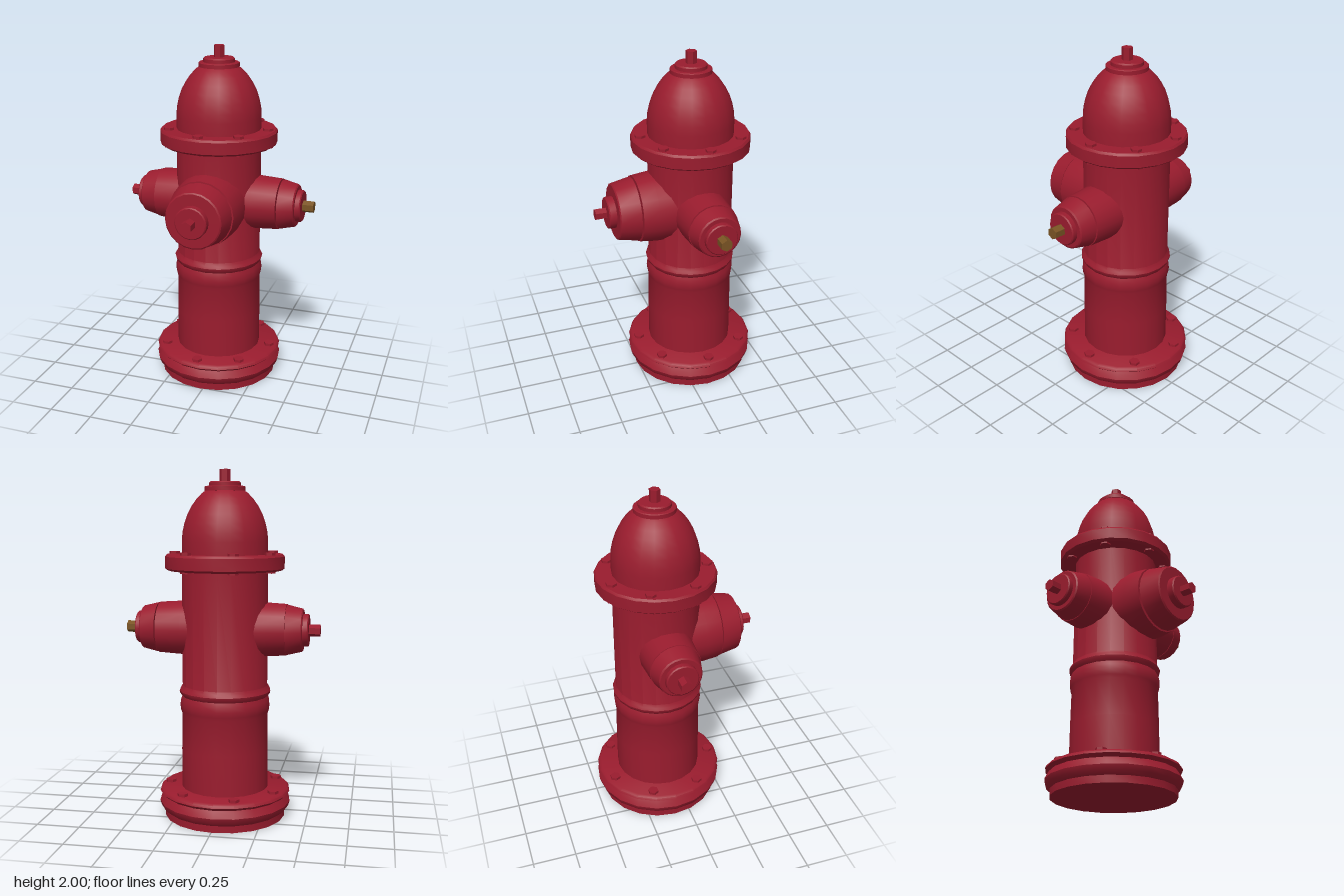
import * as THREE from 'three';
import { toCreasedNormals } from 'three/addons/utils/BufferGeometryUtils.js';

const SIDES = 20;
const CX = -0.015, CZ = -0.095; // body axis
const OUTLET_Y = 1.1;

const red = new THREE.MeshStandardMaterial({ color: 0x9a1c2e });
const brass = new THREE.MeshStandardMaterial({ color: 0x7a5424 });

// Turned part from [radius, height] points, bottom to top
function turned(name, points, sides = SIDES) {
  const profile = points.map(([r, y]) => new THREE.Vector2(r, y));
  const geometry = toCreasedNormals(new THREE.LatheGeometry(profile, sides), 0.6);
  const mesh = new THREE.Mesh(geometry, red);
  mesh.name = name;
  return mesh;
}

// Six-sided nut or bolt head standing on y0
function hex(name, radius, y0, y1, turn = Math.PI / 6, material = red) {
  const geometry = toCreasedNormals(new THREE.CylinderGeometry(radius, radius, y1 - y0, 6), 0.5);
  const mesh = new THREE.Mesh(geometry, material);
  mesh.name = name;
  mesh.position.y = (y0 + y1) / 2;
  mesh.rotation.y = turn;
  return mesh;
}

// Ring of seven slightly irregular bolts
function boltRing(name, ringRadius, y0, y1) {
  const ring = new THREE.Group();
  ring.name = name;
  for (const degrees of [-2, 50, 95, 150, 202, 251, 307]) {
    const a = THREE.MathUtils.degToRad(degrees);
    const bolt = hex('bolt', 0.031, y0, y1);
    bolt.position.x = ringRadius * Math.cos(a);
    bolt.position.z = ringRadius * Math.sin(a);
    ring.add(bolt);
  }
  return ring;
}

// Hose outlet along +y: neck, separate tapered cap, end disc and nut
function outlet(name, o) {
  const group = new THREE.Group();
  group.name = name;
  group.add(
    turned('neck', [[0, 0.02], [o.rootR, 0.02], [o.rootR, o.rootEnd], [o.neckR, o.neckEnd], [0, o.neckEnd]]),
    turned('cap', [[0, o.cap], [o.capR, o.cap], [o.tipR, o.tip - 0.006], [o.tipR - 0.008, o.tip], [0, o.tip]]),
    turned('endDisc', [[0, o.tip - 0.01], [0.093, o.tip - 0.01], [0.093, o.disc - 0.006], [0.087, o.disc], [0, o.disc]]),
    hex('nut', 0.034, o.disc - 0.01, o.end, o.turn, o.nutMaterial),
  );
  return group;
}

export function createModel() {
  const model = new THREE.Group();
  model.name = 'fireHydrant';

  const body = new THREE.Group();
  body.name = 'body';
  body.position.set(CX, 0, CZ);
  model.add(body);

  // Foot flange with a rounded waist
  body.add(turned('base', [
    [0, 0], [0.353, 0], [0.353, 0.04], [0.375, 0.06], [0.384, 0.09],
    [0.372, 0.115], [0.362, 0.132], [0.382, 0.15], [0.376, 0.163], [0.362, 0.172], [0, 0.172],
  ]));

  // Barrel with two raised bands
  body.add(turned('barrel', [
    [0.254, 0.15], [0.253, 0.4], [0.25, 0.61], [0.257, 0.63], [0.261, 0.66], [0.258, 0.69], [0.25, 0.713],
    [0.262, 0.73], [0.265, 0.743], [0.258, 0.757], [0.247, 0.775], [0.247, 1.45],
  ]));

  // Upper flange
  body.add(turned('bonnetFlange', [
    [0, 1.436], [0.325, 1.436], [0.341, 1.448], [0.341, 1.515], [0.332, 1.527], [0, 1.527],
  ]));

  // Domed bonnet
  body.add(turned('bonnet', [
    [0.246, 1.5], [0.246, 1.6], [0.242, 1.65], [0.231, 1.7], [0.214, 1.75],
    [0.19, 1.795], [0.162, 1.835], [0.13, 1.868], [0.105, 1.885], [0, 1.885],
  ]));

  // Stepped collar and operating nut
  body.add(turned('topCollar', [
    [0, 1.88], [0.117, 1.88], [0.117, 1.902], [0.112, 1.906], [0.09, 1.906],
    [0.09, 1.925], [0.083, 1.932], [0, 1.932],
  ]));
  body.add(hex('operatingNut', 0.031, 1.92, 2));

  body.add(boltRing('baseBolts', 0.325, 0.16, 0.188));
  body.add(boltRing('flangeBolts', 0.292, 1.427, 1.541));

  // Large front outlet
  const front = outlet('frontOutlet', {
    rootR: 0.205, rootEnd: 0.25, neckR: 0.194, neckEnd: 0.341,
    cap: 0.349, capR: 0.188, tip: 0.469, tipR: 0.165, disc: 0.512, end: 0.577, turn: 0, nutMaterial: red,
  });
  front.position.set(-0.01, OUTLET_Y + 0.002, CZ);
  front.rotation.x = Math.PI / 2;
  model.add(front);

  // Small side outlets; only the left one has a bare nut and an open gap
  for (const side of [1, -1]) {
    const left = side === 1;
    const small = outlet(left ? 'leftOutlet' : 'rightOutlet', {
      rootR: 0.157, rootEnd: 0.22, neckR: 0.148, neckEnd: left ? 0.366 : 0.372,
      cap: 0.373, capR: 0.145, tip: 0.467, tipR: 0.124, disc: 0.499, end: 0.563,
      turn: Math.PI / 6, nutMaterial: left ? brass : red,
    });
    small.position.set(0, OUTLET_Y, CZ);
    small.rotation.z = -side * Math.PI / 2;
    model.add(small);
  }

  return model;
}
